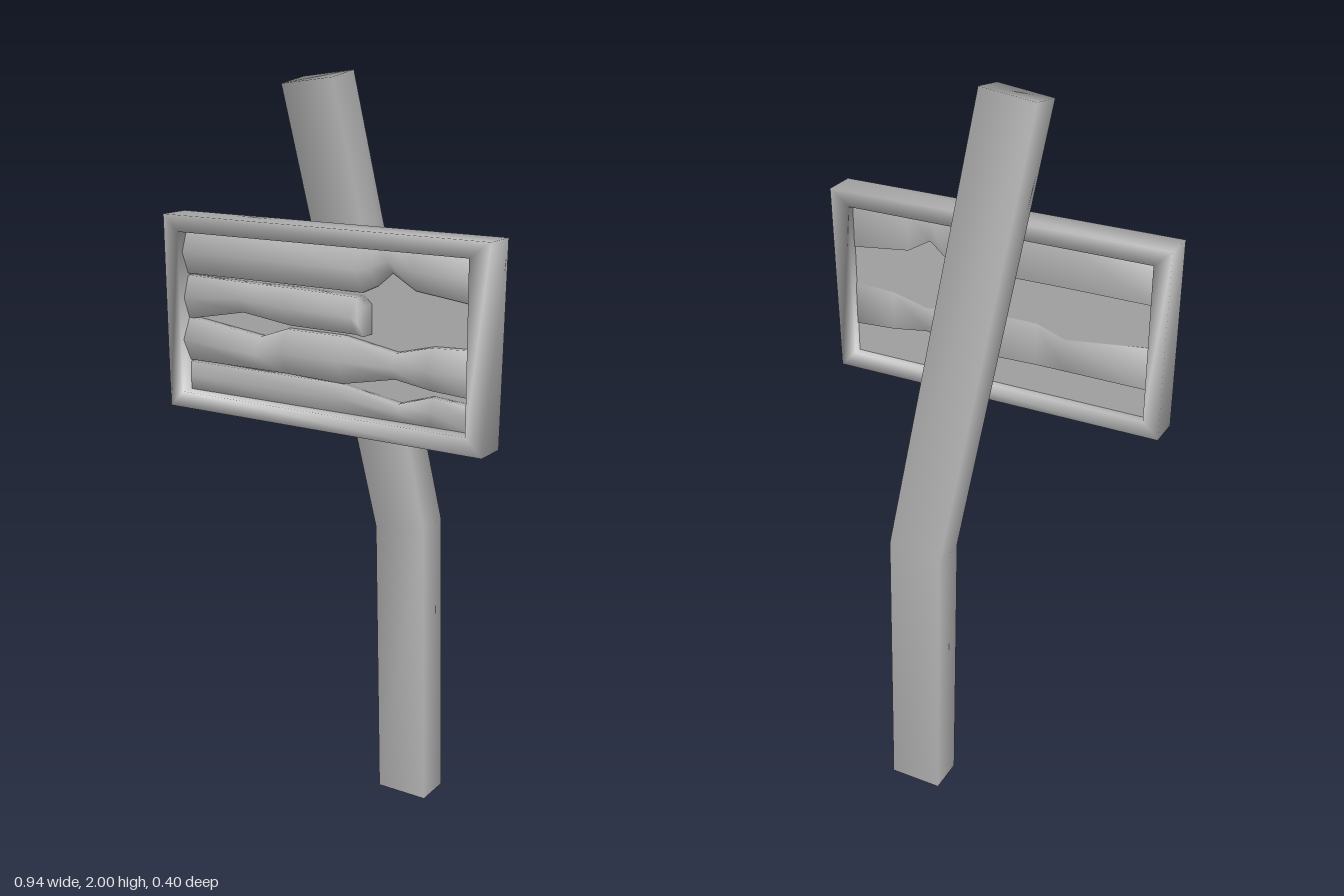
import * as THREE from 'three';

const wood = new THREE.MeshStandardMaterial({ color: 0xb4b4b4 });
wood.name = 'greyWood';

// Skin over a row of cross-sections with shared, smooth vertices.
// Each ring runs counter-clockwise seen from the far end.
function loft(name, rings, closed = false) {
  const n = rings[0].length, index = [];
  const count = closed ? rings.length : rings.length - 1;
  for (let i = 0; i < count; i++) {
    const next = (i + 1) % rings.length;
    for (let j = 0; j < n; j++) {
      const k = (j + 1) % n;
      const a = i * n + j, b = i * n + k, c = next * n + k, d = next * n + j;
      index.push(a, b, c, a, c, d);
    }
  }
  if (!closed) {
    const e = (rings.length - 1) * n;
    for (let j = 1; j < n - 1; j++) index.push(0, j + 1, j, e, e + j, e + j + 1);
  }
  const geo = new THREE.BufferGeometry();
  geo.setAttribute('position', new THREE.Float32BufferAttribute(rings.flat(2), 3));
  geo.setIndex(index);
  geo.computeVertexNormals();
  const mesh = new THREE.Mesh(geo, wood);
  mesh.name = name;
  return mesh;
}

// Plank from sections [x, bottom, top, front z, ridge z]
function plank(name, back, sections) {
  return loft(name, sections.map(([x, lo, hi, front, ridge]) => [
    [x, lo, front], [x, lo, back], [x, hi, back], [x, hi, front], [x, (lo + hi) / 2, ridge],
  ]));
}

export function createModel() {
  const model = new THREE.Group();
  model.name = 'woodenSignpost';

  // Bent post: [left x, right x, front z, back z, left y, right y, rear lift]
  const postSections = [
    [0.01, 0.158, -0.1, -0.2, 0, 0, 0],
    [-0.005, 0.143, -0.1, -0.2, 0.79, 0.81, 0],
    [-0.17, -0.02, 0.085, -0.012, 1.967, 1.985, 0.015],
  ];
  model.add(loft('post', postSections.map(([l, r, f, b, yl, yr, lift]) => [
    [l, yl, f], [r, yr, f], [r, yr + lift, b], [l, yl + lift, b],
  ])));

  // Frame, mitred at the corners: [outer x, outer y, inner x, inner y]
  const corners = [
    [-0.473, 1.132, -0.43, 1.175],
    [0.46, 1.13, 0.415, 1.175],
    [0.47, 1.638, 0.415, 1.597],
    [-0.475, 1.64, -0.43, 1.597],
  ];
  const sign = new THREE.Group();
  sign.name = 'signBoard';
  sign.add(loft('frame', corners.map(([ox, oy, ix, iy]) => [
    [ox, oy, 0.188], [ox, oy, 0.1], [ix, iy, 0.1], [ix, iy, 0.188],
  ]), true));

  // Flat backing inside the frame
  const backing = new THREE.Mesh(new THREE.BoxGeometry(0.86, 0.436, 0.008), wood);
  backing.name = 'backing';
  backing.position.set(-0.008, 1.386, 0.127);
  sign.add(backing);

  // Splintered planks
  sign.add(plank('topPlank', 0.119, [
    [-0.43, 1.485, 1.6, 0.15, 0.172],
    [-0.2, 1.485, 1.6, 0.15, 0.174],
    [0.1, 1.482, 1.6, 0.14, 0.172],
    [0.14, 1.5, 1.6, 0.14, 0.17],
    [0.185, 1.538, 1.6, 0.14, 0.165],
    [0.25, 1.5, 1.6, 0.14, 0.168],
    [0.415, 1.48, 1.6, 0.14, 0.17],
  ]));
  sign.add(plank('brokenPlank', 0.128, [
    [-0.43, 1.365, 1.48, 0.15, 0.17],
    [-0.25, 1.4, 1.478, 0.154, 0.178],
    [-0.1, 1.383, 1.478, 0.16, 0.186],
    [0.1, 1.383, 1.475, 0.168, 0.196],
    [0.122, 1.38, 1.455, 0.17, 0.198],
  ]));
  sign.add(plank('lowerPlank', 0.119, [
    [-0.43, 1.255, 1.37, 0.15, 0.178],
    [-0.2, 1.255, 1.342, 0.15, 0.178],
    [-0.12, 1.255, 1.37, 0.15, 0.178],
    [0.05, 1.25, 1.37, 0.15, 0.178],
    [0.2, 1.28, 1.345, 0.15, 0.172],
    [0.3, 1.265, 1.37, 0.15, 0.176],
    [0.415, 1.258, 1.375, 0.15, 0.178],
  ]));
  sign.add(plank('bottomPlank', 0.128, [
    [-0.43, 1.175, 1.25, 0.15, 0.152],
    [0.03, 1.175, 1.25, 0.15, 0.152],
    [0.21, 1.175, 1.22, 0.15, 0.152],
    [0.3, 1.175, 1.248, 0.15, 0.152],
    [0.415, 1.175, 1.24, 0.15, 0.152],
  ]));
  model.add(sign);
  return model;
}
